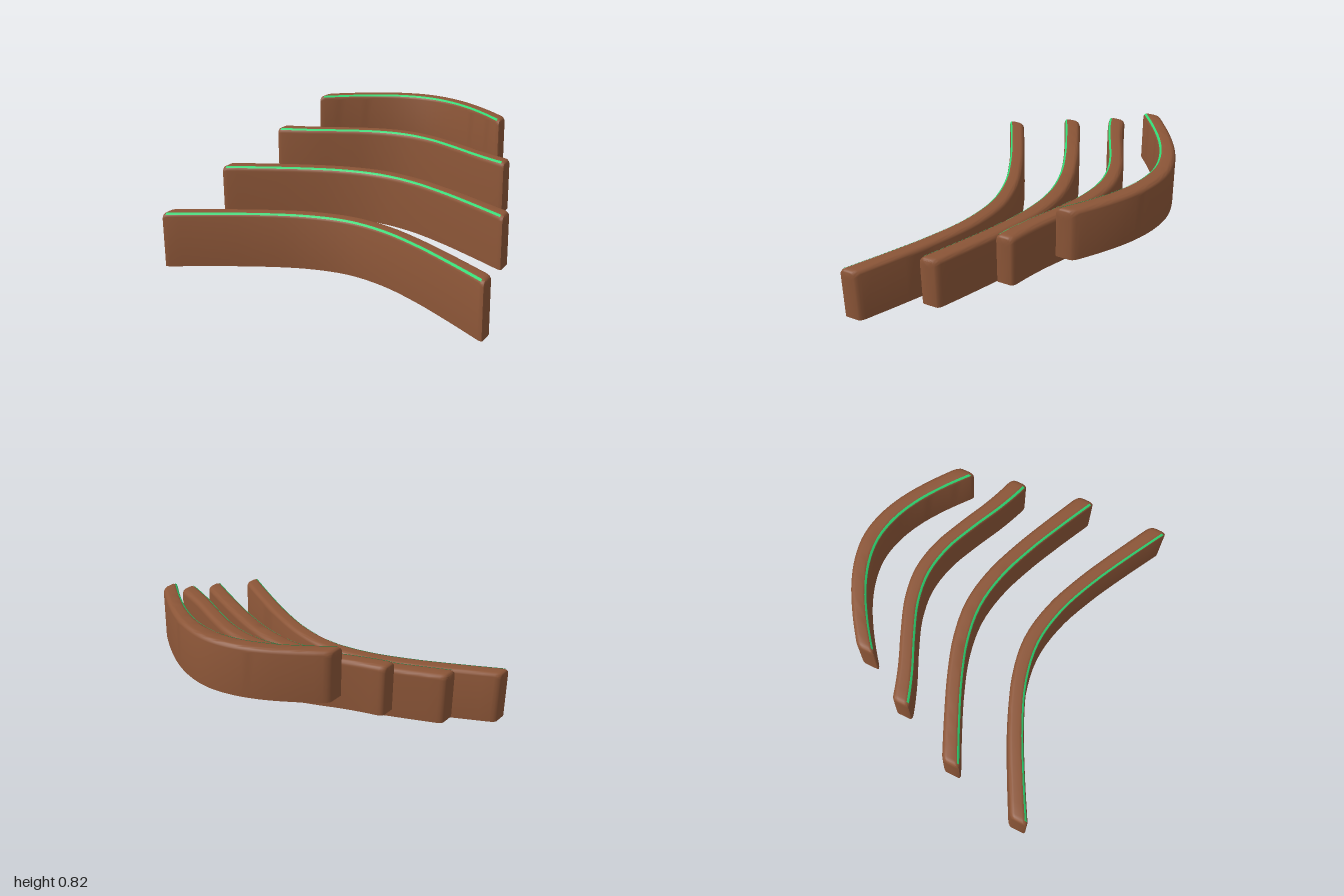
import * as THREE from 'three';
import { toCreasedNormals } from 'three/addons/utils/BufferGeometryUtils.js';

const brown = new THREE.MeshStandardMaterial({ color: 0x8b5537, side: THREE.DoubleSide });
const green = new THREE.MeshStandardMaterial({ color: 0x2ed873, side: THREE.DoubleSide });

const ROUND = 0.03; // radius of the top edges and the wall ends
const INSET = 0.014; // how far the section narrows at the wall ends

// sweep: how far the ends come forward; bend: share of it at each quarter of the half width and one beyond
const rows = [
  { halfWidth: 1.0, bottom: 0.01, top: 0.34, z: 0.315, depth: 0.1, sweep: 0.395, bend: [0.1, 0.345, 0.66, 1, 1.34] },
  { halfWidth: 0.907, bottom: 0.197, top: 0.505, z: -0.07, depth: 0.1, sweep: 0.312, bend: [0.1, 0.345, 0.66, 1, 1.34] },
  { halfWidth: 0.755, bottom: 0.37, top: 0.67, z: -0.395, depth: 0.095, sweep: 0.255, bend: [0.115, 0.405, 0.74, 1, 1.15] },
  { halfWidth: 0.61, bottom: 0.53, top: 0.83, z: -0.71, depth: 0.1, sweep: 0.295, bend: [0.08, 0.29, 0.61, 1, 1.4] },
];

// Points [z, y] of an arc on one top edge; side is 1 for the front, -1 for the back.
function edgeArc({ top, depth }, side, from, to, radius, steps) {
  return Array.from({ length: steps + 1 }, (_, i) => {
    const a = THREE.MathUtils.degToRad(from + ((to - from) * i) / steps);
    return [side * (depth / 2 - ROUND + radius * Math.cos(a)), top - ROUND + radius * Math.sin(a)];
  });
}

// Joins a [z, y] profile along stations [x, inset] and sweeps it along the row's curve.
function loft(profile, stations, row) {
  const knots = [...row.bend].reverse().concat(0, row.bend).map((b, i) => new THREE.Vector2(i, b));
  const curve = new THREE.SplineCurve(knots);
  const positions = [];
  const index = [];
  const n = profile.length;
  stations.forEach(([x, inset], s) => {
    const u = x / row.halfWidth;
    const forward = row.z + row.sweep * curve.getPoint((u / 1.25 + 1) / 2).y;
    const zScale = (1 - inset / (row.depth / 2)) * (1 + 0.13 * u * u);
    const yScale = 1 - inset / (row.top - row.bottom);
    profile.forEach(([z, y], j) => {
      positions.push(x, row.bottom + (y - row.bottom) * yScale, forward + z * zScale);
      if (s === stations.length - 1 || j === n - 1) return;
      const a = s * n + j;
      const b = a + n;
      index.push(a, b, b + 1, a, b + 1, a + 1);
    });
  });
  const geometry = new THREE.BufferGeometry();
  geometry.setAttribute('position', new THREE.Float32BufferAttribute(positions, 3));
  geometry.setIndex(index);
  return toCreasedNormals(geometry, 0.7);
}

// Evenly spaced stations without inset.
function span(halfLength, steps) {
  return Array.from({ length: steps + 1 }, (_, i) => [halfLength * ((2 * i) / steps - 1), 0]);
}

// Hollow wall: front, rounded top, back and rounded ends, open underneath.
function wallGeometry(row) {
  const profile = [
    [row.depth / 2, row.bottom],
    ...edgeArc(row, 1, 0, 90, ROUND, 6),
    ...edgeArc(row, -1, 90, 0, ROUND, 6),
    [-row.depth / 2, row.bottom],
  ];
  // From the start of the rounding outwards, then closed to the centre line.
  const end = [1, 2, 3].map((i) => {
    const a = (i * Math.PI) / 6;
    return [row.halfWidth - ROUND * (1 - Math.sin(a)), INSET * (1 - Math.cos(a))];
  });
  end.push([row.halfWidth, row.depth / 2]);
  const start = end.map(([x, inset]) => [-x, inset]).reverse();
  return loft(profile, [...start, ...span(row.halfWidth - ROUND, 32), ...end], row);
}

// Flat coloured band lying on the rounded front top edge.
function trimGeometry(row) {
  return loft(edgeArc(row, 1, 38, 66, ROUND + 0.002, 3), span(row.halfWidth - 0.02, 32), row);
}

export function createModel() {
  const model = new THREE.Group();
  model.name = 'tieredCurvedWalls';
  rows.forEach((row, i) => {
    const tier = new THREE.Group();
    tier.name = `tier${i + 1}`;
    const wall = new THREE.Mesh(wallGeometry(row), brown);
    wall.name = 'curvedWall';
    const trim = new THREE.Mesh(trimGeometry(row), green);
    trim.name = 'edgeTrim';
    tier.add(wall, trim);
    model.add(tier);
  });
  return model;
}
